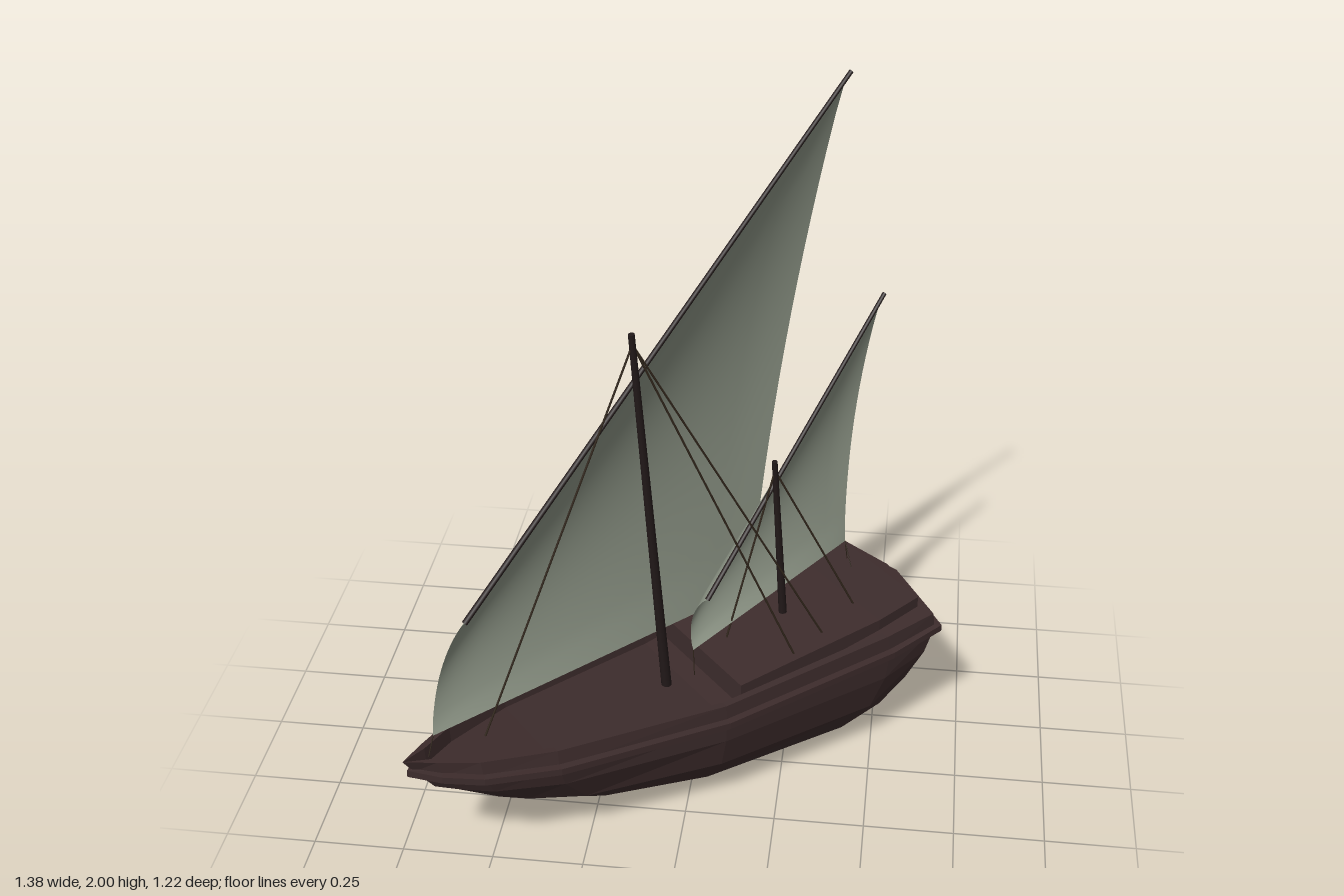
import * as THREE from 'three';

const mat = (name, color, side = THREE.FrontSide) => {
  const m = new THREE.MeshStandardMaterial({ color, side });
  m.name = name;
  return m;
};
const V = (x, y, z) => new THREE.Vector3(x, y, z);
const MID = 0.019; // sideways position of the centreline

// Skin between successive rings of points, flat shaded
function loft(rings, closeRing, closePath) {
  const out = [];
  const n = rings[0].length, m = rings.length;
  for (let i = 0; i < (closePath ? m : m - 1); i++) {
    for (let j = 0; j < (closeRing ? n : n - 1); j++) {
      const A = rings[i], B = rings[(i + 1) % m], k = (j + 1) % n;
      for (const tri of [[A[j], A[k], B[j]], [A[k], B[k], B[j]]]) {
        const area = tri[1].clone().sub(tri[0]).cross(tri[2].clone().sub(tri[0])).length();
        if (area > 1e-8) tri.forEach((p) => out.push(p.x, p.y, p.z));
      }
    }
  }
  const g = new THREE.BufferGeometry();
  g.setAttribute('position', new THREE.Float32BufferAttribute(out, 3));
  g.computeVertexNormals();
  return g;
}

// Hull lines, bow to stern: [along, height, half width]
const gunwale = [[-0.925, 0.405, 0], [-0.85, 0.4, 0.045], [-0.75, 0.392, 0.098], [-0.553, 0.383, 0.158],
  [-0.06, 0.362, 0.222], [0.48, 0.39, 0.24], [0.65, 0.402, 0.235]];
const waleLine = [[-0.895, 0.36, 0], [-0.835, 0.352, 0.05], [-0.745, 0.342, 0.105], [-0.553, 0.33, 0.165],
  [-0.06, 0.308, 0.226], [0.49, 0.335, 0.245], [0.655, 0.352, 0.238]];
const side = [[-0.84, 0.285, 0], [-0.79, 0.28, 0.04], [-0.71, 0.27, 0.09], [-0.53, 0.255, 0.15],
  [-0.06, 0.24, 0.222], [0.48, 0.245, 0.24], [0.63, 0.27, 0.228]];
const chine = [[-0.71, 0.205, 0], [-0.67, 0.195, 0.035], [-0.6, 0.18, 0.07], [-0.45, 0.155, 0.12],
  [-0.06, 0.145, 0.2], [0.45, 0.14, 0.215], [0.59, 0.18, 0.2]];
const bilge = [[-0.5, 0.11, 0], [-0.47, 0.1, 0.02], [-0.43, 0.085, 0.035], [-0.36, 0.07, 0.06],
  [-0.06, 0.05, 0.13], [0.4, 0.04, 0.15], [0.53, 0.08, 0.16]];
const keel = [[-0.4, 0.058, 0], [-0.39, 0.056, 0.01], [-0.38, 0.054, 0.018], [-0.3, 0.048, 0.02],
  [-0.06, 0.032, 0.03], [0.3, 0.012, 0.035], [0.443, 0, 0.04]];
const bulge = [0.05, 0.05, 0.045, 0.035, 0.02, 0]; // rounding of the transom

function hullGeometry() {
  const lines = [gunwale, waleLine, side, chine, bilge, keel]
    .map((l, k) => [...l, [l[6][0] + bulge[k], l[6][1], 0]]);
  const rings = gunwale.concat([0]).map((_, i) => {
    const half = lines.map((l) => l[i]);
    return [...half.map(([a, y, h]) => V(a, y, MID + h)),
      ...half.reverse().map(([a, y, h]) => V(a, y, MID - h))];
  });
  return loft(rings, false, false);
}

function deckGeometry() {
  const line = [...gunwale, [0.7, 0.402, 0]];
  const rings = line.map(([a, y, h], i) => {
    const depth = i > 0 && i < 5 ? 0.045 : 0;
    const inner = Math.max(h - 0.02, 0), floor = Math.max(h - 0.026, 0);
    return [V(a, y, MID - h), V(a, y, MID - inner), V(a, y - depth, MID - floor),
      V(a, y - depth, MID + floor), V(a, y, MID + inner), V(a, y, MID + h)];
  });
  return loft(rings, false, false);
}

// Rubbing strake that runs right round the hull
function waleGeometry() {
  const path = [...waleLine.map(([a, y, h]) => V(a, y, MID + h)), V(0.705, 0.352, MID),
    ...waleLine.slice(1).reverse().map(([a, y, h]) => V(a, y, MID - h))];
  const n = path.length;
  const rings = path.map((p, i) => {
    const t = path[(i + 1) % n].clone().sub(path[(i + n - 1) % n]);
    const o = V(-t.z, 0, t.x).normalize().multiplyScalar(0.02);
    const at = (out, dy) => p.clone().addScaledVector(o, out).add(V(0, dy, 0));
    return [at(-0.3, 0.012), at(1, 0.012), at(1, -0.008), at(-0.3, -0.02)];
  });
  return loft(rings, true, true);
}

function quarterdeckGeometry() {
  const rings = [[0, 0.395, 0], [0, 0.395, 0.203], [0.48, 0.425, 0.2], [0.635, 0.434, 0.18], [0.665, 0.435, 0]]
    .map(([a, y, h]) => [V(a, y, MID + h), V(a, 0.3, MID + h), V(a, 0.3, MID - h), V(a, y, MID - h)]);
  return loft(rings, true, false);
}

// Round pole from p to q
function spar(p, q, r1, r2, material, name, sides = 8) {
  const d = q.clone().sub(p);
  const m = new THREE.Mesh(new THREE.CylinderGeometry(r2, r1, d.length(), sides), material);
  m.position.copy(p).addScaledVector(d, 0.5);
  m.quaternion.setFromUnitVectors(V(0, 1, 0), d.normalize());
  m.name = name;
  return m;
}

// Four-cornered sail: hangs from the yard (low to peak) down to the foot (tack to clew)
function sailGeometry(low, peak, tack, clew, edgeBelly, midBelly) {
  const g = new THREE.PlaneGeometry(1, 1, 16, 16);
  const pos = g.attributes.position;
  for (let i = 0; i < pos.count; i++) {
    const s = pos.getX(i) + 0.5, t = 0.5 - pos.getY(i);
    const p = low.clone().lerp(peak, s).lerp(tack.clone().lerp(clew, s), t);
    const down = Math.pow(Math.max(Math.sin(Math.PI * t), 0), 0.75);
    const across = Math.pow(Math.max(Math.sin(Math.PI * s), 0), 0.6);
    p.z -= down * (edgeBelly + midBelly * across);
    pos.setXYZ(i, p.x, p.y, p.z);
  }
  g.computeVertexNormals();
  return g;
}

export function createModel() {
  const wood = mat('dark hull wood', 0x3d2c2c);
  const pole = mat('blackened spar wood', 0x221919);
  const rope = mat('rope brown', 0x32271c);
  const cloth = mat('grey green sailcloth', 0x8c9485, THREE.DoubleSide);

  const root = new THREE.Group();
  root.name = 'sailingBoat';
  const ship = new THREE.Group();
  ship.name = 'ship';
  ship.rotation.y = 0.704; // the boat lies diagonally
  root.add(ship);
  const add = (geometry, material, name) => {
    const m = new THREE.Mesh(geometry, material);
    m.name = name;
    ship.add(m);
  };

  // Body
  add(hullGeometry(), wood, 'hull');
  add(deckGeometry(), wood, 'deck');
  add(waleGeometry(), wood, 'wale');
  add(quarterdeckGeometry(), wood, 'quarterdeck');

  // Masts
  const mainTop = V(-0.208, 1.45, 0.02), mizzenTop = V(0.243, 0.93, 0.019);
  ship.add(spar(V(-0.113, 0.31, 0.02), mainTop, 0.015, 0.009, pole, 'mainMast'));
  ship.add(spar(V(0.285, 0.4, 0.019), mizzenTop, 0.012, 0.008, pole, 'mizzenMast'));

  // Yards
  const mainLow = V(-0.713, 0.755, 0.005), mainPeak = V(0.462, 1.997, 0.005);
  const mizLow = V(-0.002, 0.585, 0.057), mizPeak = V(0.675, 1.285, -0.077);
  ship.add(spar(mainLow, mainPeak, 0.008, 0.006, pole, 'mainYard'));
  ship.add(spar(mizLow, mizPeak, 0.007, 0.006, pole, 'mizzenYard'));

  // Sails
  const mainTack = V(-0.829, 0.445, 0.011), mainClew = V(0.245, 0.45, -0.087);
  const mizTack = V(-0.045, 0.43, 0.053), mizClew = V(0.569, 0.505, -0.068);
  add(sailGeometry(mainLow, mainPeak.clone().lerp(mainLow, 0.015), mainTack, mainClew, 0.045, 0.04), cloth, 'mainSail');
  add(sailGeometry(mizLow, mizPeak.clone().lerp(mizLow, 0.015), mizTack, mizClew, 0.04, 0.03), cloth, 'mizzenSail');

  // Stays, shrouds and sheets
  const mainHead = V(-0.205, 1.42, 0.02), mizHead = V(0.245, 0.9, 0.019);
  [
    [mainHead, V(-0.68, 0.38, 0.013), 0.003],
    [mainHead, V(0.2, 0.4, 0.196), 0.003],
    [mainHead, V(0.319, 0.41, 0.165), 0.003],
    [mizHead, V(0.09, 0.4, 0.019), 0.003],
    [mizHead, V(0.47, 0.42, 0.11), 0.003],
    [mainTack, V(-0.85, 0.39, 0.019), 0.0015],
    [mainClew, V(0.25, 0.4, -0.09), 0.0015],
    [mizTack, V(-0.04, 0.34, 0.05), 0.0015],
    [mizClew, V(0.57, 0.42, -0.03), 0.0015],
    [mizClew, V(0.59, 0.42, -0.08), 0.0015],
  ].forEach(([p, q, r]) => ship.add(spar(p, q, r, r, rope, 'rigging', 5)));

  return root;
}
